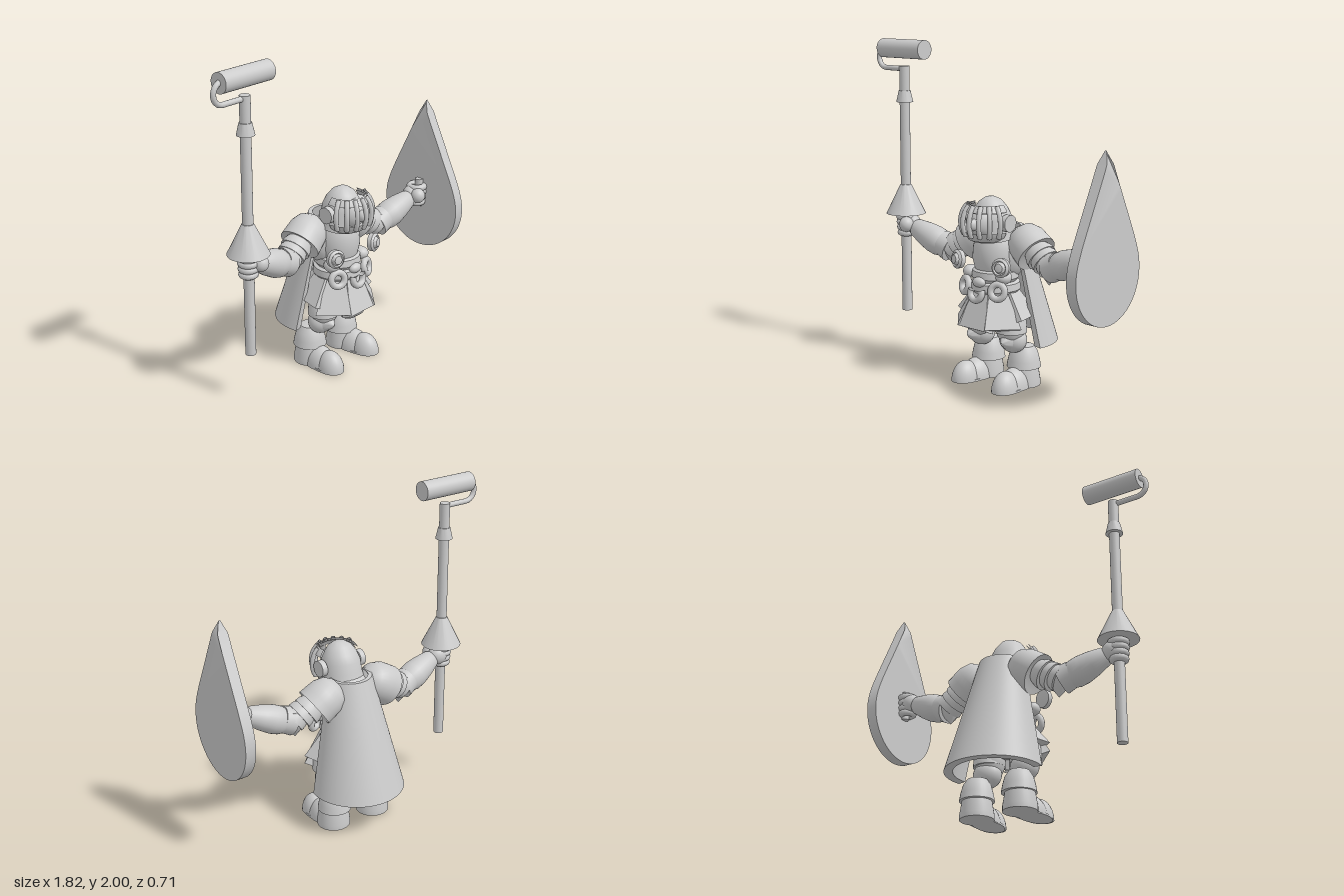
import * as THREE from 'three';
import { toCreasedNormals } from 'three/addons/utils/BufferGeometryUtils.js';

const V = (x, y, z) => new THREE.Vector3(x, y, z);

export function createModel() {
  const root = new THREE.Group();
  const mat = new THREE.MeshStandardMaterial({ color: 0xcccccc, side: THREE.DoubleSide });
  const figure = new THREE.Group();
  figure.name = 'knight';
  figure.position.x = 0.07;
  root.add(figure);

  const add = (parent, name, geo, x = 0, y = 0, z = 0) => {
    const m = new THREE.Mesh(geo, mat);
    m.name = name;
    m.position.set(x, y, z);
    parent.add(m);
    return m;
  };
  const lathe = (pts, seg = 28) =>
    toCreasedNormals(new THREE.LatheGeometry(pts.map(p => new THREE.Vector2(p[0], p[1])), seg), 0.7);
  const ball = (rx, ry, rz, half = false) =>
    new THREE.SphereGeometry(1, 24, 16, 0, Math.PI * 2, 0, half ? Math.PI / 2 : Math.PI).scale(rx, ry, rz);
  // turn a mesh so its y axis points along a direction
  const aim = (m, dir) => m.quaternion.setFromUnitVectors(V(0, 1, 0), dir.clone().normalize());

  // torso
  add(figure, 'torso', lathe([[0, 0.36], [0.12, 0.4], [0.125, 0.55], [0.15, 0.58], [0.145, 0.62], [0.125, 0.63],
    [0.14, 0.65], [0.135, 0.69], [0.12, 0.7], [0.135, 0.76], [0.13, 0.83], [0.11, 0.91], [0.07, 0.95], [0, 0.96]]), 0, 0, 0.06);
  add(figure, 'back', ball(0.17, 0.17, 0.12), 0, 0.78, 0.01);
  add(figure, 'neck', new THREE.CylinderGeometry(0.08, 0.1, 0.12, 24), 0, 0.93, 0.08);

  // flared skirt plates
  for (const [deg, lift] of [[0, 0], [50, 0.01], [-50, 0.01], [102, 0.06], [-102, 0.06]]) {
    const a = deg * Math.PI / 180;
    const geo = new THREE.BoxGeometry(1, 1, 1);
    const p = geo.attributes.position;
    for (let i = 0; i < p.count; i++) {
      const low = p.getY(i) < 0;
      const w = p.getX(i) * (low ? 0.2 : 0.1);
      const inner = p.getZ(i) < 0;
      const r = low ? (inner ? 0.145 : 0.205) : (inner ? 0.09 : 0.12);
      const y = low ? (inner ? 0.345 : 0.37) + lift : 0.59;
      const sx = low ? 1.15 : 1;
      p.setXYZ(i, (Math.sin(a) * r + Math.cos(a) * w) * sx, y, Math.cos(a) * r - Math.sin(a) * w);
    }
    geo.computeVertexNormals();
    add(figure, 'skirtPlate', geo, 0, 0, 0.06);
  }

  // belt rings
  for (const [x, y, z, arc] of [[-0.128, 0.595, 0.18, 2], [0.128, 0.595, 0.18, 2], [0, 0.575, 0.225, 1.25]]) {
    const ring = add(figure, 'beltRing', new THREE.TorusGeometry(0.043, 0.02, 12, 24, Math.PI * arc), x, y, z);
    ring.rotation.set(-0.2, x * 3, arc < 2 ? Math.PI * 0.875 : 0);
  }
  add(figure, 'buckle', ball(0.045, 0.03, 0.03), 0, 0.635, 0.2);

  // cape: a crescent drawn out upward and tapered
  const crescent = new THREE.Shape();
  crescent.absarc(0, 0, 0.287, -0.18, Math.PI + 0.18, false);
  crescent.absarc(0, 0, 0.235, Math.PI + 0.18, -0.18, true);
  let cape = new THREE.ExtrudeGeometry(crescent, { depth: 0.7, steps: 6, bevelEnabled: false, curveSegments: 22 });
  cape.rotateX(-Math.PI / 2);
  const cp = cape.attributes.position;
  for (let i = 0; i < cp.count; i++) {
    const t = cp.getY(i) / 0.7, k = 1 - 0.52 * t;
    cp.setXYZ(i, cp.getX(i) * k, cp.getY(i) + 0.245, cp.getZ(i) * k - 0.07 + 0.08 * t);
  }
  add(figure, 'cape', toCreasedNormals(cape, 0.2));

  // head and helmet
  add(figure, 'face', ball(0.085, 0.1, 0.11), 0, 0.98, 0.14);
  add(figure, 'nose', ball(0.028, 0.035, 0.035), 0, 0.98, 0.25);
  const helmet = add(figure, 'helmet', lathe([[0.135, -0.09], [0.122, -0.03], [0.118, 0.03], [0.1, 0.08],
    [0.07, 0.125], [0.035, 0.148], [0, 0.153]]), 0, 0.975, 0.09);
  helmet.rotation.x = 0.12;
  const visor = new THREE.Group();
  visor.name = 'visor';
  visor.position.set(0, 0.985, 0.13);
  figure.add(visor);
  // curved bands and bars cut from sphere shells; angles run around +z
  const shell = (name, r, mid, width, top, height) => add(visor, name,
    new THREE.SphereGeometry(r, 20, 10, Math.PI / 2 + mid - width / 2, width, top, height));
  shell('visorBrow', 0.152, 0, 3.5, 0.8, 0.32);
  shell('visorBrowInner', 0.138, 0, 3.5, 0.8, 0.32);
  shell('visorChin', 0.15, 0, 3.3, 1.92, 0.42);
  for (let i = -3; i <= 3; i++) {
    const pts = [0.85, 1.15, 1.5, 1.85, 2.1].map(t =>
      V(0, Math.cos(t) * 0.153, Math.sin(t) * 0.153));
    const bar = add(visor, 'visorBar',
      new THREE.TubeGeometry(new THREE.CatmullRomCurve3(pts), 12, 0.015, 8));
    bar.rotation.y = i * 0.42;
  }

  for (const s of [-1, 1]) {
    // visor hinge
    add(figure, 'hinge', new THREE.CylinderGeometry(0.05, 0.05, 0.035, 20).rotateZ(Math.PI / 2), s * 0.137, 0.985, 0.1);

    // round armpit guard
    const guard = add(figure, 'armpitGuard', lathe([[0, 0.045], [0.025, 0.04], [0.035, 0.022], [0.042, 0.03],
      [0.056, 0.018], [0.054, -0.01], [0, -0.02]], 24), s * 0.168, 0.745, 0.19);
    aim(guard, V(s * 0.25, 0.1, 1));
    add(figure, 'sidePouch', ball(0.045, 0.04, 0.05), s * 0.13, 0.67, 0.13);

    // shoulder
    const down = V(s * 0.82, -0.57, 0.1);
    const pauldron = add(figure, 'pauldron', lathe([[0, -0.115], [0.05, -0.108], [0.095, -0.075], [0.118, -0.02],
      [0.122, 0.03], [0.125, 0.085], [0.105, 0.08], [0, 0.05]]), s * 0.19, 0.855, -0.015);
    aim(pauldron, down);

    // overlapping upper arm bands
    for (let i = 0; i < 3; i++) {
      const r = 0.092 - i * 0.005;
      const band = add(figure, 'armBand', lathe([[0, -0.035], [r * 0.8, -0.035], [r * 0.96, 0], [r, 0.03], [0, 0.03]]),
        s * (0.285 + i * 0.042), 0.81 - i * 0.019, i * 0.009);
      aim(band, down);
    }

    // pointed elbow and its bands
    const elbow = add(figure, 'elbow', lathe([[0, -0.1], [0.035, -0.055], [0.065, -0.005], [0.075, 0.04],
      [0.055, 0.08], [0, 0.095]], 20), s * 0.383, 0.745, 0.02);
    elbow.rotation.z = -s * 0.05;
    const armDir = V(s * 0.9, 0.36, 0.12);
    const cuff = add(figure, 'elbowBand', lathe([[0, -0.04], [0.086, -0.04], [0.078, 0.035], [0, 0.035]]), s * 0.43, 0.765, 0.03);
    aim(cuff, armDir);
    const forearm = add(figure, 'forearm', lathe([[0, -0.14], [0.06, -0.135], [0.083, -0.07], [0.085, -0.02],
      [0.075, 0.05], [0.056, 0.13], [0.045, 0.145], [0, 0.15]]), s * 0.54, 0.8, 0.045);
    aim(forearm, armDir);

    // fist
    const hand = new THREE.Group();
    hand.name = 'fist';
    hand.position.set(s * 0.745, 0.865, 0.065);
    figure.add(hand);
    add(hand, 'palm', ball(0.065, 0.06, 0.055), -s * 0.035, 0, -0.01);
    add(hand, 'thumb', ball(0.045, 0.047, 0.045), -s * 0.05, 0.005, 0.05);
    for (let i = 0; i < 4; i++) {
      const w = 1 - i * 0.06;
      const finger = add(hand, 'finger', new THREE.TorusGeometry(0.045 * w, 0.021, 10, 20), 0, 0.045 - i * 0.034, 0);
      finger.rotation.x = Math.PI / 2;
    }

    // leg
    add(figure, 'thigh', ball(0.095, 0.13, 0.09), s * 0.12, 0.38, 0.06);
    add(figure, 'thighBand', lathe([[0.07, 0.44], [0.09, 0.4], [0.094, 0.335], [0, 0.335]]), s * 0.125, 0, 0.06);
    add(figure, 'knee', ball(0.088, 0.08, 0.075), s * 0.127, 0.285, 0.045);
    const tip = add(figure, 'kneePoint', lathe([[0.08, 0], [0.055, 0.045], [0.025, 0.085], [0, 0.105]], 20), s * 0.127, 0.285, 0.055);
    aim(tip, V(s * 0.1, 0, 1));
    add(figure, 'greave', lathe([[0, 0.25], [0.06, 0.235], [0.082, 0.2], [0.095, 0.15], [0.102, 0.108], [0, 0.108]]),
      s * 0.142, 0, -0.035);

    // foot
    const foot = new THREE.Group();
    foot.name = 'foot';
    foot.position.set(s * 0.145, 0, -0.03);
    foot.rotation.y = s * 0.08;
    figure.add(foot);
    add(foot, 'heel', lathe([[0, 0], [0.1, 0], [0.1, 0.03], [0.085, 0.12], [0, 0.125]]));
    add(foot, 'instep', ball(0.083, 0.12, 0.12, true), 0, 0, 0.09);
    add(foot, 'toe', ball(0.075, 0.118, 0.093, true), 0, 0, 0.18);
    add(foot, 'sole', new THREE.CylinderGeometry(0.08, 0.08, 0.012, 24).scale(1, 1, 1.65), 0, 0.006, 0.135);
  }

  // lance with a paint roller head
  const lance = new THREE.Group();
  lance.name = 'rollerLance';
  lance.position.set(-0.675, 0, 0.068);
  root.add(lance);
  add(lance, 'shaft', new THREE.CylinderGeometry(0.031, 0.031, 1.53, 24), 0, 1.075, 0);
  add(lance, 'handGuard', lathe([[0, 0.93], [0.122, 0.93], [0.034, 1.11], [0, 1.12]]));
  add(lance, 'collar', lathe([[0, 1.62], [0.052, 1.62], [0.036, 1.69], [0, 1.69]]));
  const bend = [V(0, 1.822, 0), V(-0.14, 1.822, 0)];
  for (let i = 0; i <= 8; i++) {
    const a = -Math.PI / 2 - i * Math.PI / 8;
    bend.push(V(-0.16 + 0.0625 * Math.cos(a), 1.8845 + 0.0625 * Math.sin(a), 0));
  }
  bend.push(V(-0.1, 1.947, 0));
  add(lance, 'rollerHandle', new THREE.TubeGeometry(new THREE.CatmullRomCurve3(bend), 48, 0.016, 12));
  add(lance, 'roller', new THREE.CylinderGeometry(0.058, 0.058, 0.36, 32).rotateZ(Math.PI / 2), -0.003, 1.942, 0);

  // teardrop shield, thinned toward its tip
  const drop = new THREE.Shape();
  drop.moveTo(0, 0.68);
  drop.bezierCurveTo(-0.03, 0.6, -0.16, 0.34, -0.225, 0.2);
  drop.bezierCurveTo(-0.26, 0.12, -0.28, 0.07, -0.28, 0);
  drop.absarc(0, 0, 0.28, Math.PI, Math.PI * 2, false);
  drop.bezierCurveTo(0.28, 0.07, 0.26, 0.12, 0.225, 0.2);
  drop.bezierCurveTo(0.16, 0.34, 0.03, 0.6, 0, 0.68);
  const plate = new THREE.ExtrudeGeometry(drop, { depth: 0.066, bevelEnabled: false, curveSegments: 20 });
  plate.translate(0, 0, -0.033);
  const sp = plate.attributes.position;
  for (let i = 0; i < sp.count; i++) {
    sp.setZ(i, sp.getZ(i) * Math.min(1, 0.15 + Math.max(0, 0.68 - sp.getY(i)) / 0.085));
  }
  plate.rotateY(Math.PI / 2);
  add(root, 'shield', toCreasedNormals(plate, 0.5), 0.878, 0.785, 0.075);
  add(root, 'shieldGrip', new THREE.CylinderGeometry(0.025, 0.025, 0.18, 16), 0.835, 0.865, 0.068);

  return root;
}
